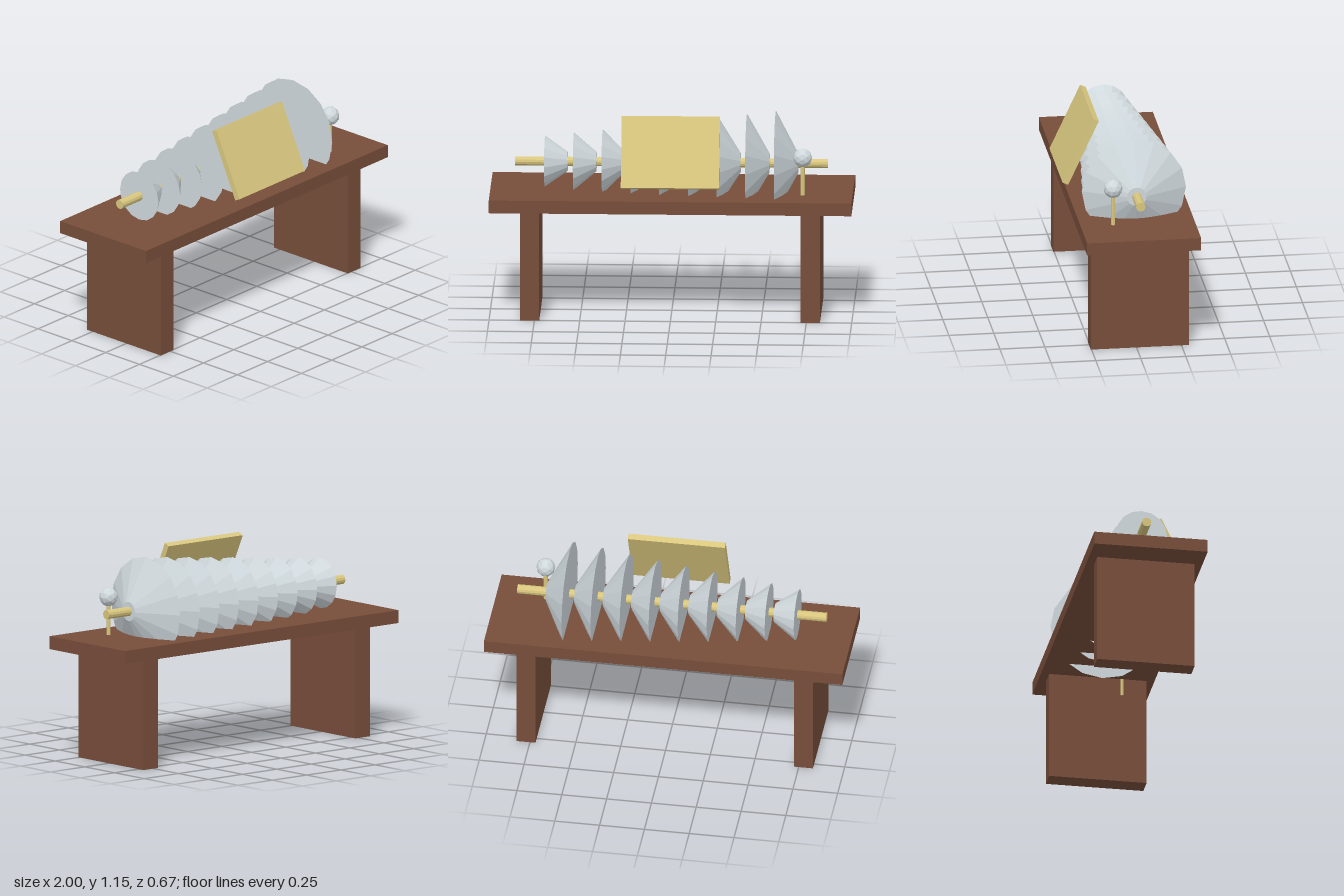
import * as THREE from 'three';

const material = (color) => new THREE.MeshStandardMaterial({ color, flatShading: true });

export function createModel() {
  const model = new THREE.Group();
  const wood = material(0x774d3a);
  const brass = material(0xd8c67e);
  const glass = material(0xcfd8dc);

  const add = (name, geometry, mat, x, y, z, parent = model) => {
    const mesh = new THREE.Mesh(geometry, mat);
    mesh.name = name;
    mesh.position.set(x, y, z);
    parent.add(mesh);
    return mesh;
  };

  // Table: top board and two slab legs
  add('tableTop', new THREE.BoxGeometry(2, 0.072, 0.634), wood, 0, 0.656, -0.019);
  for (const [name, x] of [['rightLeg', -0.776], ['leftLeg', 0.772]]) {
    add(name, new THREE.BoxGeometry(0.106, 0.62, 0.545), wood, x, 0.31, -0.018);
  }

  // Spindle lying along x, with nine nested bowls that grow towards +x
  const spindle = new THREE.Group();
  spindle.name = 'spindle';
  spindle.position.set(0, 0.838, -0.019);
  model.add(spindle);
  const shaft = new THREE.CylinderGeometry(0.026, 0.026, 1.725, 12).rotateZ(-Math.PI / 2);
  add('shaft', shaft, brass, -0.002, 0, 0, spindle);
  for (let i = 0; i < 9; i++) {
    const bowl = new THREE.CylinderGeometry(0.054, 0.142 + i * 0.0185, 0.126, 16).rotateZ(-Math.PI / 2);
    add('bowl' + (i + 1), bowl, glass, -0.638 + i * 0.159, 0, 0, spindle);
  }

  // Tilted board in front of the bowls
  const board = add('musicBoard', new THREE.BoxGeometry(0.542, 0.404, 0.0345), brass, 0, 0.957, 0.236);
  board.rotation.x = -0.436;

  // Upright rod with a faceted knob
  add('knobRod', new THREE.CylinderGeometry(0.012, 0.012, 0.37, 8), brass, 0.725, 0.707, 0.117);
  add('knob', new THREE.IcosahedronGeometry(0.053, 1), glass, 0.725, 0.904, 0.117);

  return model;
}
